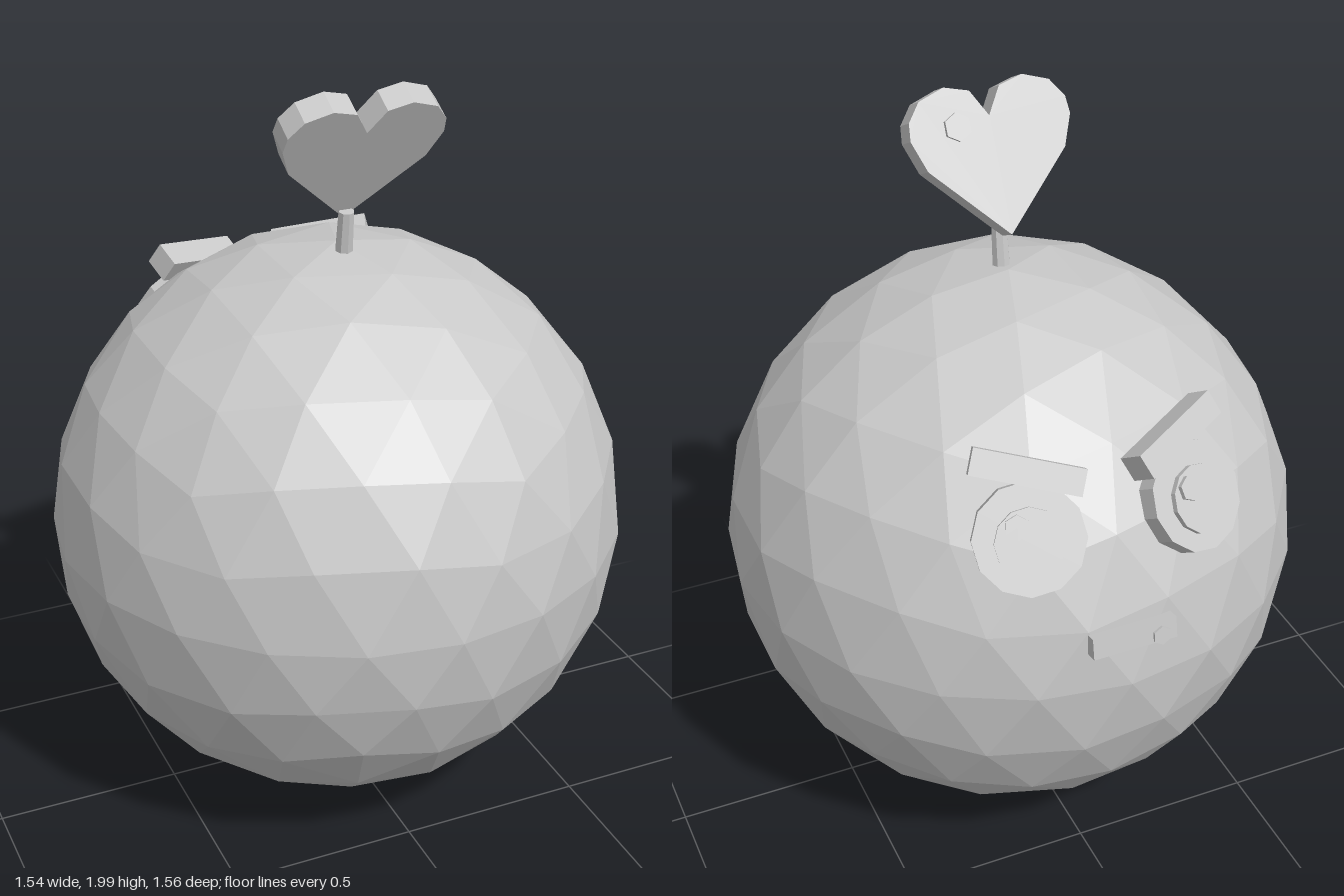
import * as THREE from 'three';

const grey = new THREE.MeshStandardMaterial({ color: 0xc8c8c8, flatShading: true });
grey.name = 'light grey';

const R = 0.772;
const CENTRE = new THREE.Vector3(0, R, 0.007);

function add(parent, name, geometry, x = 0, y = 0, z = 0) {
  const mesh = new THREE.Mesh(geometry, grey);
  mesh.name = name;
  mesh.position.set(x, y, z);
  parent.add(mesh);
  return mesh;
}

// Flat disc facing +z
const disc = (radius, depth, sides) =>
  new THREE.CylinderGeometry(radius, radius, depth, sides).rotateX(Math.PI / 2);

// Group at the ball's centre whose +z points out along a direction
function outward(parent, name, x, y, z) {
  const group = new THREE.Group();
  group.name = name;
  group.position.copy(CENTRE);
  group.lookAt(CENTRE.clone().add(new THREE.Vector3(x, y, z)));
  parent.add(group);
  return group;
}

// Icosphere with a corner at the top, halved twice
function ballGeometry() {
  let g = new THREE.IcosahedronGeometry(R, 0);
  for (let i = 0; i < 2; i++) {
    const p = Array.from(g.attributes.position.array);
    g = new THREE.PolyhedronGeometry(p, p.slice(0, p.length / 3).map((_, k) => k), R, 1);
  }
  g.rotateX(-Math.atan2((1 + Math.sqrt(5)) / 2, 1)).rotateY(Math.PI / 2);
  return g;
}

function heartGeometry(depth) {
  const half = [[0.185, 0.19], [0.215, 0.27], [0.21, 0.315], [0.175, 0.362],
    [0.105, 0.386], [0.04, 0.368]];
  const points = [[0, 0], ...half, [0, 0.3],
    ...half.slice().reverse().map(([x, y]) => [-x, y])];
  const shape = new THREE.Shape(points.map(([x, y]) => new THREE.Vector2(x, y)));
  return new THREE.ExtrudeGeometry(shape, { depth, bevelEnabled: false });
}

export function createModel() {
  const model = new THREE.Group();
  model.name = 'ball creature';

  add(model, 'body', ballGeometry(), CENTRE.x, CENTRE.y, CENTRE.z);

  // Stem and heart on top
  const stem = add(model, 'stem', new THREE.CylinderGeometry(0.021, 0.025, 0.16, 8), 0, 1.565, 0.059);
  stem.rotation.x = 0.13;

  const heart = new THREE.Group();
  heart.name = 'heart';
  heart.position.set(0, 1.655, -0.016);
  heart.rotation.x = 0.5;
  add(heart, 'heart plate', heartGeometry(0.072));
  add(heart, 'heart highlight', disc(0.036, 0.03, 6), 0.09, 0.285, 0.003);
  model.add(heart);

  // Eyes and slanted brows on the -z side
  for (const s of [-1, 1]) {
    const eye = outward(model, s > 0 ? 'left eye' : 'right eye', s * 0.278, 0.53, -0.8);
    add(eye, 'eyeball', disc(0.139, 0.06, 12), 0, 0, 0.77);
    add(eye, 'iris', disc(0.086, 0.03, 12), 0, -0.008, 0.8);
    add(eye, 'eye highlight', disc(0.032, 0.025, 6), -0.03, 0.03, 0.814);
    const brow = add(eye, 'brow', new THREE.BoxGeometry(0.275, 0.067, 0.075), 0, 0.16, 0.789);
    brow.rotation.z = -s * 0.23;
  }

  // Mouth
  const mouth = outward(model, 'mouth', 0, 0.19, -0.98);
  add(mouth, 'mouth bar', new THREE.BoxGeometry(0.225, 0.057, 0.04), 0, 0, 0.77);
  add(mouth, 'mouth highlight', disc(0.025, 0.03, 6), 0.07, -0.01, 0.782);

  return model;
}
